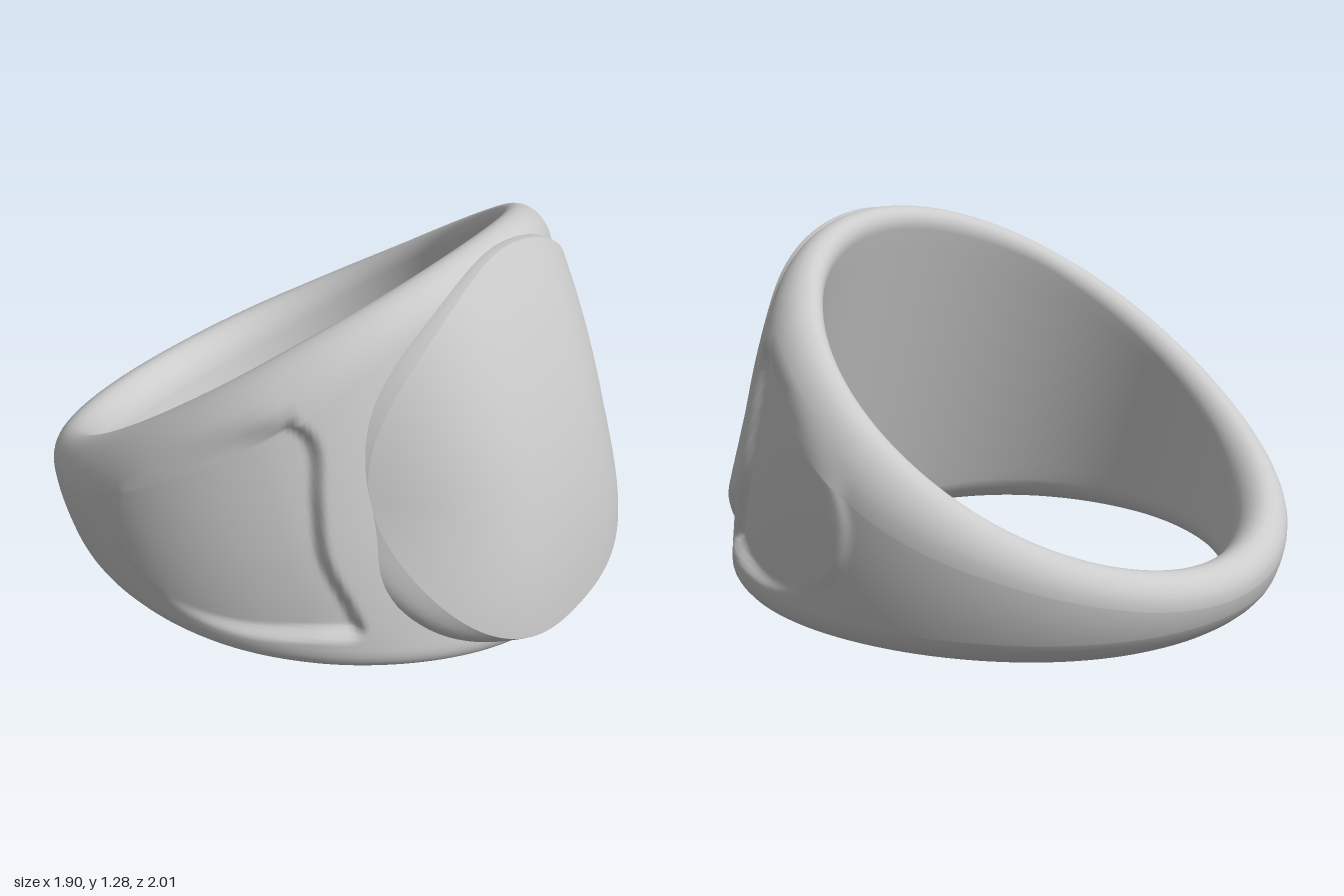
import * as THREE from 'three';

const { lerp, smoothstep } = THREE.MathUtils;
const material = new THREE.MeshStandardMaterial({ color: 0xcccccc });

// Smooth grid of points fn(i, j); i closes on itself when wrapU is set, j when wrapV is set
function grid(nu, nv, wrapU, wrapV, fn) {
  const pos = [], index = [];
  const cu = wrapU ? nu : nu + 1, cv = wrapV ? nv : nv + 1;
  for (let i = 0; i < cu; i++) for (let j = 0; j < cv; j++) pos.push(...fn(i, j));
  const id = (i, j) => (i % cu) * cv + (j % cv);
  for (let i = 0; i < nu; i++) for (let j = 0; j < nv; j++) {
    const a = id(i, j), b = id(i + 1, j), c = id(i + 1, j + 1), d = id(i, j + 1);
    index.push(a, b, c, a, c, d);
  }
  const g = new THREE.BufferGeometry();
  g.setAttribute('position', new THREE.Float32BufferAttribute(pos, 3));
  g.setIndex(index);
  g.computeVertexNormals();
  return g;
}

function mesh(name, geometry) {
  const m = new THREE.Mesh(geometry, material);
  m.name = name;
  return m;
}

// Outline of the shoulder panel, seen from the side as (z, y)
const panel = new THREE.CatmullRomCurve3([
  [0.6, 0.2], [0.58, 0.28], [0.5, 0.47], [0.465, 0.65], [0.43, 0.85], [0.37, 0.91], [0.28, 0.89],
  [0.15, 0.83], [0, 0.73], [-0.15, 0.6], [-0.2, 0.48], [-0.18, 0.35], [-0.1, 0.26], [0.05, 0.2],
  [0.25, 0.175], [0.5, 0.19],
].map(([z, y]) => new THREE.Vector3(z, y, 0)), true).getPoints(80);

// Signed distance to the panel outline, positive inside
function panelDistance(z, y) {
  let inside = false, best = 9;
  for (let k = 0; k < panel.length - 1; k++) {
    const a = panel[k], b = panel[k + 1];
    const dx = b.x - a.x, dy = b.y - a.y;
    const t = THREE.MathUtils.clamp(((z - a.x) * dx + (y - a.y) * dy) / (dx * dx + dy * dy || 1), 0, 1);
    best = Math.min(best, Math.hypot(z - a.x - dx * t, y - a.y - dy * t));
    if ((a.y > y) !== (b.y > y) && z < a.x + dx * (y - a.y) / dy) inside = !inside;
  }
  return inside ? best : -best;
}

// Band: rounded section swept around a leaning finger hole
function bandGeometry() {
  const OUT = 60, ARC = 14, IN = 14, N = OUT + ARC + IN + ARC;
  const around = 400;
  return grid(around, N, true, true, (i, j) => {
    const a = (i / around) * Math.PI * 2;
    const s = Math.sin(a), c = Math.cos(a);
    const top = 0.75 + 0.5 * c + 0.03 * c * c;
    const bottom = 0.05 - (c > 0 ? 0.05 * c ** 4 : 0.03 * c * c);
    const thick = lerp(0.185, 0.16, smoothstep(c, 0.5, 0.95)) + 0.005 * smoothstep(-c, 0.5, 1);
    const h = thick / 2;
    // the crest leans towards the hole along the sides, sloping off outwards
    const lean = smoothstep(c, -0.9, -0.1) * (1 - smoothstep(c, 0.6, 0.97));
    const peak = thick * lerp(0.5, 0.36, lean);
    const dropOut = h * lerp(1.1, 1.8, lean), dropIn = h * lerp(1, 0.7, lean);
    let d, y;
    if (j < OUT) {
      d = thick;
      y = lerp(bottom + h, top - dropOut, j / OUT);
    } else if (j < OUT + ARC) {
      const p = ((j - OUT) / ARC) * Math.PI;
      const outer = p < Math.PI / 2;
      d = peak + (outer ? thick - peak : peak) * Math.cos(p);
      y = top - (outer ? dropOut : dropIn) * (1 - Math.sin(p));
    } else if (j < OUT + ARC + IN) {
      d = 0;
      y = lerp(top - dropIn, bottom + h, (j - OUT - ARC) / IN);
    } else {
      const p = ((j - OUT - ARC - IN) / ARC) * Math.PI;
      d = h - h * Math.cos(p);
      y = bottom + h - h * Math.sin(p);
    }
    // outer wall swells towards mid height, and stays full at the upper front
    const v = (2 * (y - bottom)) / (top - bottom) - 1;
    const front = smoothstep(c, 0.1, 0.7);
    d *= 1 - lerp(0.16, v > 0 ? 0.04 : 0.24, front) * v * v;
    const cz = -0.005 - 0.3 * (y - 0.15);
    let x = (0.757 + d) * s, z = cz + (0.81 + d) * c;
    // panel: sunk at its front end, slightly raised at its rear end
    if (j < OUT + ARC / 2 && Math.abs(x) > 0.5) {
      const depth = lerp(-0.01, 0.04, smoothstep(z, -0.2, 0.5));
      d -= depth * smoothstep(panelDistance(z, y), -0.015, 0.025);
      x = (0.757 + d) * s;
      z = cz + (0.81 + d) * c;
    }
    return [x, y, z];
  });
}

// Point on the convex oval face, at fraction r of the way to its rim
function facePoint(r, a) {
  const ca = Math.cos(a), sa = Math.sin(a);
  const wide = sa < 0 ? 1 + 0.18 * (ca * sa) ** 2 : 1;
  const x = 0.62 * r * wide * ca;
  const y = 0.66 + r * wide * (0.61 * sa - 0.03 * ca * ca);
  const u = (y - 0.05) / 0.6;
  const bow = lerp(1, 1.35, smoothstep(y, 0.15, 0.65));
  return [x, y, 1 - 0.0275 * u - 0.0775 * u * u - bow * Math.abs(x) ** 3];
}

export function createModel() {
  const ring = new THREE.Group();
  ring.name = 'signetRing';
  ring.add(mesh('band', bandGeometry()));

  // Raised face and the flared wall that blends it into the band
  const SEG = 128, RINGS = 20, WALL = 6;
  const angle = (j) => (j / SEG) * Math.PI * 2;
  const bezel = new THREE.Group();
  bezel.name = 'bezel';
  bezel.add(mesh('face', grid(RINGS, SEG, false, true, (i, j) => facePoint(i / RINGS, angle(j)))));
  bezel.add(mesh('faceWall', grid(WALL, SEG, false, true, (i, j) => {
    const a = angle(j), k = i / WALL;
    const [x, y, z] = facePoint(1, a);
    const low = Math.max(0, -Math.sin(a)), high = Math.max(0, Math.sin(a));
    const flare = Math.sin(k * Math.PI / 2);
    return [
      x * (1 + (0.06 + 0.1 * low) * flare),
      y - 0.04 * low * flare - 0.03 * high * k * k,
      z - lerp(0.14, 0.09, high) * k,
    ];
  })));
  ring.add(bezel);
  return ring;
}
